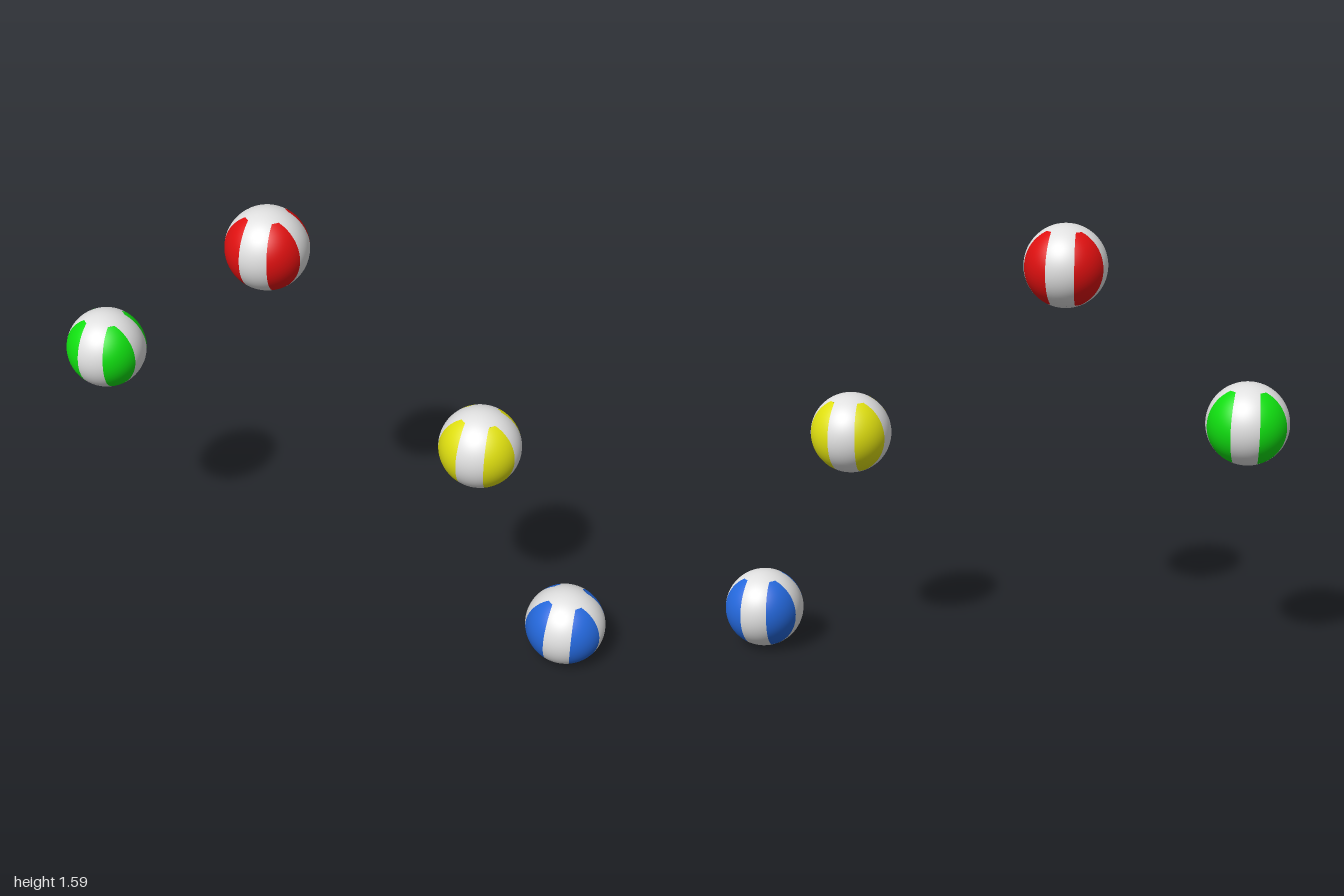
import * as THREE from 'three';

const R = 0.141;
const CAP = Math.PI / 3; // latitude where the coloured panels end

function material(name, color) {
  const m = new THREE.MeshStandardMaterial({ color });
  m.name = name;
  return m;
}

// Half the angle of a white stripe at a latitude: a band of nearly even width
function stripeHalf(lat) {
  const w = 0.34 - 0.066 * Math.sin(lat) ** 2;
  return Math.asin(w / Math.cos(lat));
}

// Curved sphere panel around a longitude, with its half angle given by latitude
function panel(centre, halfAt) {
  const geo = new THREE.PlaneGeometry(1, 1, 10, 28);
  const pos = geo.attributes.position, nor = geo.attributes.normal;
  for (let i = 0; i < pos.count; i++) {
    const lat = pos.getY(i) * 2 * CAP;
    const lon = centre + pos.getX(i) * 2 * halfAt(lat);
    const x = Math.cos(lat) * Math.sin(lon), y = Math.sin(lat), z = Math.cos(lat) * Math.cos(lon);
    pos.setXYZ(i, x * R, y * R, z * R);
    nor.setXYZ(i, x, y, z);
  }
  return geo;
}

export function createModel() {
  const model = new THREE.Group();
  model.name = 'jugglingBalls';
  const white = material('white', 0xe0e0e0);

  // Shared shapes: stripe, panel and the two end caps
  const stripe = panel(0, stripeHalf);
  const petal = panel(Math.PI / 4, lat => Math.PI / 4 - stripeHalf(lat));
  const cap = new THREE.SphereGeometry(R, 64, 10, 0, Math.PI * 2, 0, Math.PI / 2 - CAP);

  const balls = [
    ['green', 0x10e010, -0.859, 0.94],
    ['red', 0xe01010, -0.238, 1.452],
    ['yellow', 0xe0e010, 0.515, 0.829],
    ['blue', 0x2468dc, 0.859, 0.142],
  ];
  for (const [name, color, x, y] of balls) {
    const ball = new THREE.Group();
    ball.name = name + 'Ball';
    ball.position.set(x, y, 0);
    const paint = material(name, color);
    const add = (part, geo, mat) => {
      const mesh = new THREE.Mesh(geo, mat);
      mesh.name = part;
      ball.add(mesh);
      return mesh;
    };
    // Four white stripes alternating with four coloured panels
    for (let k = 0; k < 4; k++) {
      add('stripe', stripe, white).rotation.y = k * Math.PI / 2;
      add('colouredPanel', petal, paint).rotation.y = k * Math.PI / 2;
    }
    add('topCap', cap, white);
    add('bottomCap', cap, white).rotation.x = Math.PI;
    model.add(ball);
  }
  return model;
}
